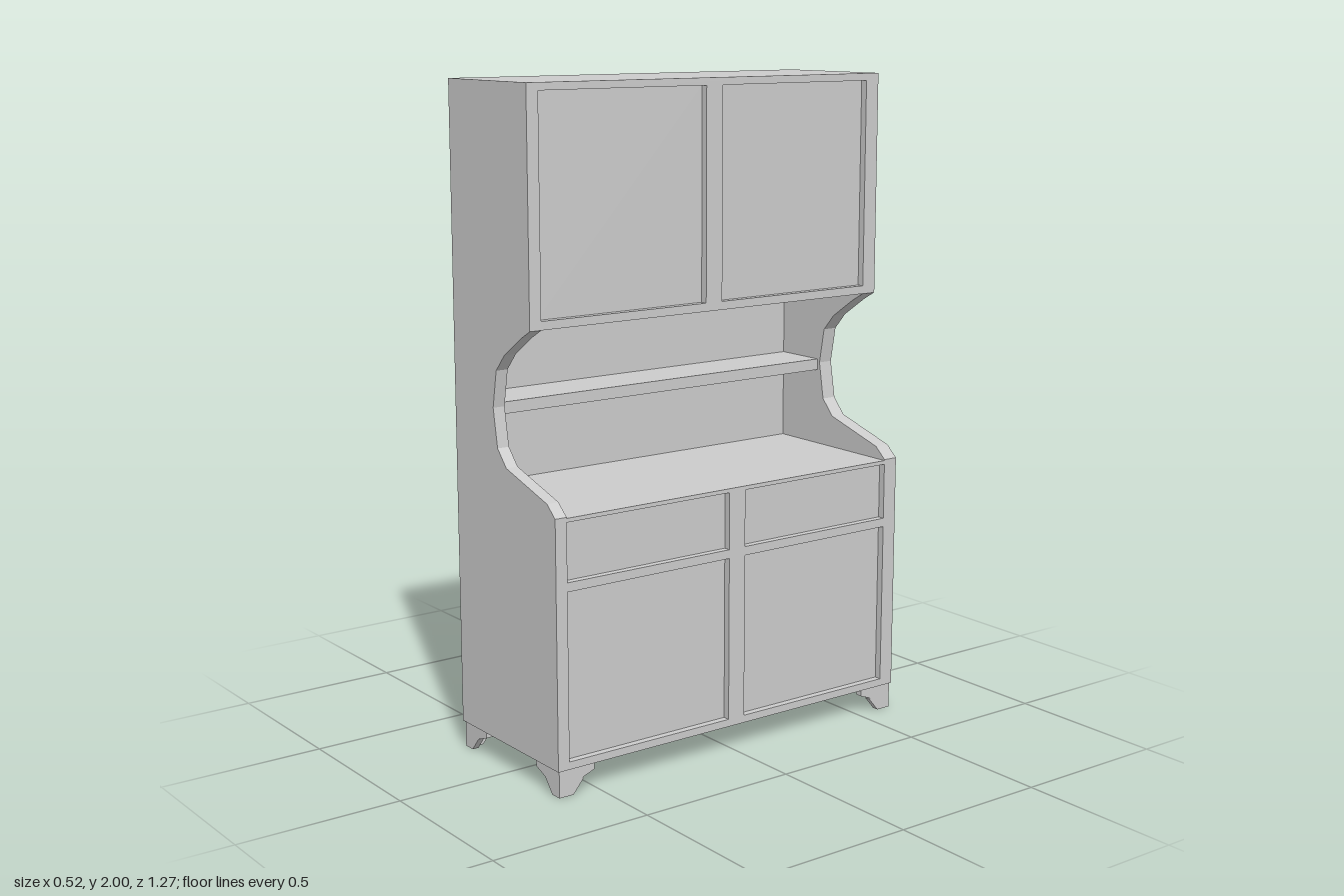
import * as THREE from 'three';

const material = new THREE.MeshStandardMaterial({ color: 0xcccccc, flatShading: true });

// Main planes of the cabinet; the doors face +x
const BACK = -0.265, BACK_IN = -0.235, LOW_FRONT = 0.26, UP_FRONT = 0.145;
const Z_OUT = 0.635, Z_LEFT = 0.597, Z_RIGHT = -0.587;
const RECESS = 0.022, FLOOR = 0.08, COUNTER = 0.815, UPPER = 1.325, TOP = 2;
const MID = [-0.034, 0.025]; // centre stile

export function createModel() {
  const cabinet = new THREE.Group();
  cabinet.name = 'cabinet';

  function add(name, geometry) {
    const mesh = new THREE.Mesh(geometry, material);
    mesh.name = name;
    cabinet.add(mesh);
    return mesh;
  }

  // Box given by its two limits on each axis
  function board(name, [x0, x1], [y0, y1], [z0, z1]) {
    const mesh = add(name, new THREE.BoxGeometry(x1 - x0, y1 - y0, z1 - z0));
    mesh.position.set((x0 + x1) / 2, (y0 + y1) / 2, (z0 + z1) / 2);
  }

  function extrude(points, depth) {
    const shape = new THREE.Shape(points.map(([x, y]) => new THREE.Vector2(x, y)));
    return new THREE.ExtrudeGeometry(shape, { depth, bevelEnabled: false });
  }

  const inner = [Z_RIGHT, Z_LEFT];

  // Side panels with the scooped cut-out above the counter
  const profile = [
    [BACK, FLOOR], [LOW_FRONT, FLOOR], [LOW_FRONT, 0.818], [0.22, 0.853],
    [0.01, 0.915], [-0.035, 0.965], [-0.055, 1.08], [-0.035, 1.19],
    [0.01, 1.24], [0.1, 1.3], [UP_FRONT, UPPER], [UP_FRONT, TOP], [BACK, TOP],
  ];
  add('leftSide', extrude(profile, Z_OUT - Z_LEFT)).position.z = Z_LEFT;
  add('rightSide', extrude(profile, Z_RIGHT + Z_OUT)).position.z = -Z_OUT;

  // Carcass boards
  board('backPanel', [BACK, BACK_IN], [FLOOR, TOP], inner);
  board('bottomBoard', [BACK_IN, LOW_FRONT], [FLOOR, 0.103], inner);
  board('counter', [BACK_IN, LOW_FRONT], [0.803, COUNTER], inner);
  board('shelf', [BACK_IN, -0.065], [1.055, 1.09], inner);
  board('upperBottomBoard', [BACK_IN, UP_FRONT], [UPPER, 1.35], inner);
  board('topBoard', [BACK_IN, UP_FRONT], [1.978, TOP], inner);

  // Front frame between the doors and drawers
  board('lowerStile', [LOW_FRONT - 0.06, LOW_FRONT], [0.103, 0.803], MID);
  board('upperStile', [UP_FRONT - 0.06, UP_FRONT], [1.35, 1.978], MID);

  // Recessed doors and drawers, one pair per row
  for (const [side, z] of [['right', [Z_RIGHT, MID[0]]], ['left', [MID[1], Z_LEFT]]]) {
    const face = (front) => [front - RECESS - 0.02, front - RECESS];
    board(side + 'LowerDoor', face(LOW_FRONT), [0.103, 0.603], z);
    board(side + 'DrawerRail', [LOW_FRONT - 0.06, LOW_FRONT], [0.603, 0.63], z);
    board(side + 'Drawer', face(LOW_FRONT), [0.63, 0.803], z);
    board(side + 'UpperDoor', face(UP_FRONT), [1.35, 1.978], z);
  }

  // Bracket feet: two shaped plates meeting at each corner
  const T = 0.02;
  const bracket = (start, tip) => [
    [start, FLOOR], [start, 0], [tip, 0], [tip + 0.035, 0.042],
    [0.08, 0.045], [0.12, 0.06], [0.12, FLOOR],
  ];
  for (const sx of [-1, 1]) {
    for (const sz of [-1, 1]) {
      const corner = (sx > 0 ? 'front' : 'back') + (sz > 0 ? 'Left' : 'Right');
      const x = sx > 0 ? 0.256 : -0.258, z = sz * 0.63;

      const sidePlate = bracket(0, 0.038).map(([u, y]) => [x - sx * u, y]);
      add(corner + 'FootSide', extrude(sidePlate, T)).position.z = sz > 0 ? z - T : z;

      const facePlate = bracket(T, 0.048).map(([u, y]) => [z - sz * u, y]);
      const face = add(corner + 'FootFace', extrude(facePlate, T));
      face.rotation.y = -Math.PI / 2;
      face.position.x = sx > 0 ? x : x + T;
    }
  }

  return cabinet;
}
